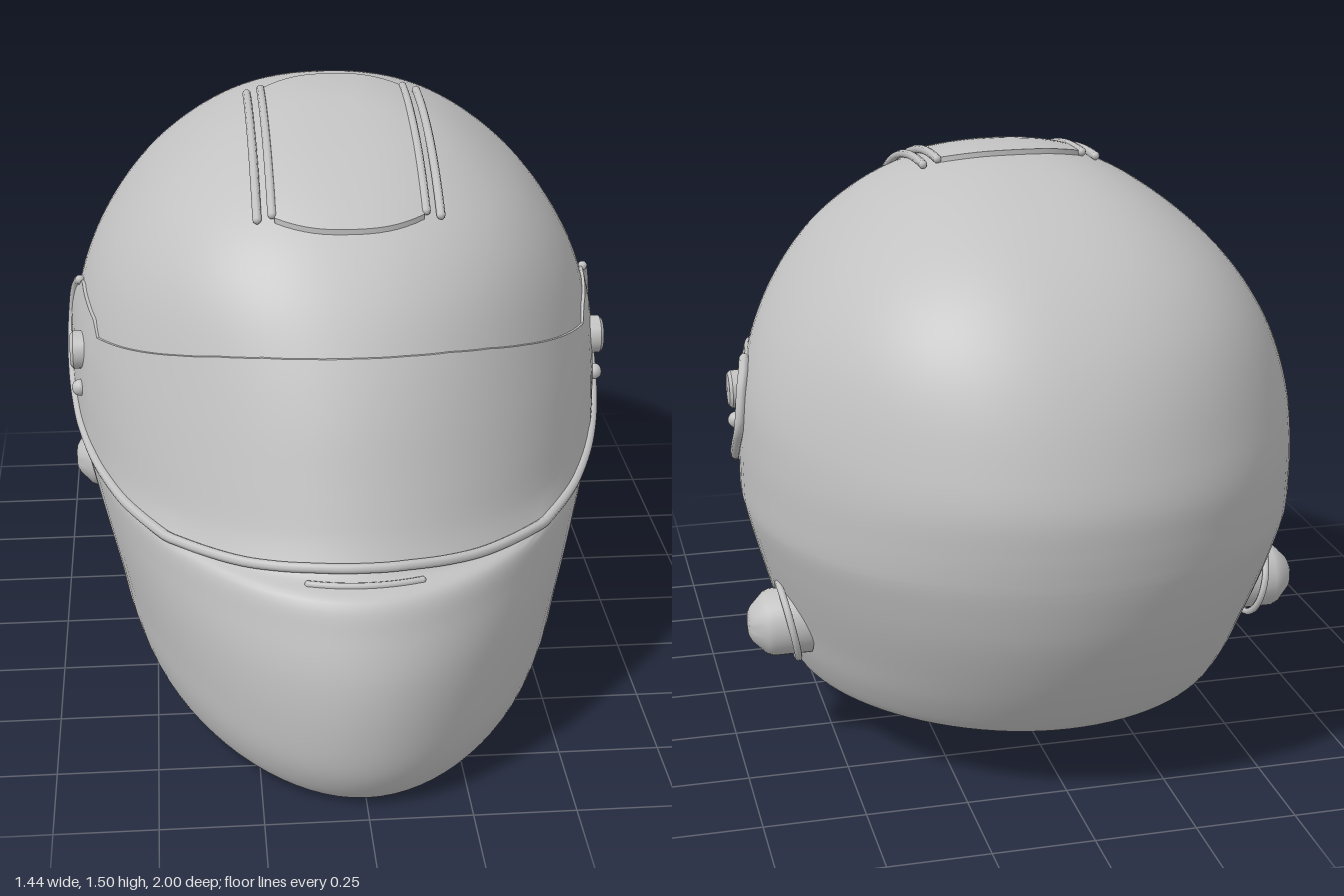
import * as THREE from 'three';
import { toCreasedNormals } from 'three/addons/utils/BufferGeometryUtils.js';

// Shell sections from base to crown: front y, front z, back y, back z, half width, z of widest point
const SECTIONS = [
  [0.0, 0.905, 0.175, -0.765, 0.535, -0.08], [0.02, 0.935, 0.185, -0.78, 0.56, -0.08],
  [0.1, 0.98, 0.26, -0.835, 0.59, -0.11], [0.22, 1.0, 0.36, -0.893, 0.615, -0.14],
  [0.36, 0.995, 0.47, -0.943, 0.648, -0.17], [0.47, 0.965, 0.56, -0.971, 0.675, -0.19],
  [0.55, 0.93, 0.62, -0.985, 0.692, -0.2], [0.575, 0.865, 0.66, -0.991, 0.697, -0.2],
  [0.62, 0.83, 0.72, -0.997, 0.698, -0.2], [0.75, 0.775, 0.81, -0.998, 0.697, -0.2],
  [0.9, 0.715, 0.92, -0.971, 0.684, -0.2], [1.04, 0.645, 1.04, -0.925, 0.643, -0.19],
  [1.15, 0.575, 1.15, -0.862, 0.582, -0.18], [1.25, 0.487, 1.25, -0.778, 0.503, -0.17],
  [1.33, 0.385, 1.33, -0.68, 0.417, -0.16], [1.4, 0.25, 1.4, -0.55, 0.317, -0.15],
  [1.45, 0.085, 1.45, -0.4, 0.208, -0.15], [1.475, -0.04, 1.475, -0.275, 0.105, -0.15],
  [1.482, -0.145, 1.482, -0.155, 0.005, -0.15],
];
const frontCurve = new THREE.CatmullRomCurve3(SECTIONS.map(s => new THREE.Vector3(s[0], s[1], s[4])));
const backCurve = new THREE.CatmullRomCurve3(SECTIONS.map(s => new THREE.Vector3(s[2], s[3], s[5])));
const BASE_BOW = 0.02;

// Sections grow squarer towards the crown
const squareness = t => THREE.MathUtils.smoothstep(t, 0.54, 0.74);
const power = t => 2 + 0.35 * squareness(t);
const signedPow = (v, e) => Math.sign(v) * Math.abs(v) ** e;

// Point on the shell at height parameter t and angle a (0 = left side, PI/2 = front)
function shellPoint(t, a) {
  const f = frontCurve.getPoint(t), b = backCurve.getPoint(t);
  const e = 2 / power(t), zc = b.z;
  const c = signedPow(Math.cos(a), e), s = signedPow(Math.sin(a), e);
  const z = zc + s * (s > 0 ? f.y - zc : zc - b.y);
  const taper = s > 0 ? 1 - 0.08 * (1 - squareness(t)) * s ** 4 : 1;
  const mid = (z - b.y) / (f.y - b.y);
  const bow = BASE_BOW * 4 * mid * (1 - mid) * (1 - THREE.MathUtils.smoothstep(t, 0, 0.25));
  return new THREE.Vector3(f.z * c * taper, THREE.MathUtils.lerp(b.x, f.x, mid) + bow, z);
}

function bisect(lo, hi, isBelow) {
  for (let i = 0; i < 24; i++) {
    const mid = (lo + hi) / 2;
    if (isBelow(mid)) lo = mid; else hi = mid;
  }
  return (lo + hi) / 2;
}

// Shell point at a given angle and height, pushed outward
function onSide(a, y, offset = 0) {
  const p = shellPoint(bisect(0, 1, t => shellPoint(t, a).y < y), a);
  p.x += Math.cos(a) * offset;
  p.z += Math.sin(a) * offset;
  return p;
}

// Crown point above a given x and z
function onTop(x, z, offset = 0) {
  const t = bisect(0.6, 1, k => {
    const f = frontCurve.getPoint(k), b = backCurve.getPoint(k), p = power(k);
    const r = z > b.z ? f.y - b.z : b.z - b.y;
    return Math.abs(x / f.z) ** p + Math.abs((z - b.z) / r) ** p < 1;
  });
  return new THREE.Vector3(x, frontCurve.getPoint(t).x + offset, z);
}

function grid(rows, cols, fn, crease = 0.7) {
  const pos = [], idx = [];
  for (let i = 0; i <= rows; i++) {
    for (let j = 0; j <= cols; j++) pos.push(...fn(i, j).toArray());
  }
  for (let i = 0; i < rows; i++) {
    for (let j = 0; j < cols; j++) {
      const a = i * (cols + 1) + j, b = a + cols + 1;
      idx.push(a, b, a + 1, b, b + 1, a + 1);
    }
  }
  const g = new THREE.BufferGeometry();
  g.setAttribute('position', new THREE.Float32BufferAttribute(pos, 3));
  g.setIndex(idx);
  return toCreasedNormals(g, crease);
}

function lookup(table, x) {
  let i = 0;
  while (i < table.length - 2 && x > table[i + 1][0]) i++;
  return THREE.MathUtils.mapLinear(x, table[i][0], table[i + 1][0], table[i][1], table[i + 1][1]);
}

// Visor edges: angle in degrees from the side, height
const VISOR_LOW = [[0, 0.82], [2, 0.78], [4, 0.745], [8, 0.7], [15, 0.65], [25, 0.612],
  [35, 0.59], [48, 0.578], [65, 0.585], [80, 0.598], [90, 0.6]];
const VISOR_HIGH = [[0, 0.87], [1, 0.915], [2.5, 0.95], [5, 0.972], [8, 0.98], [15, 0.968],
  [21, 0.955], [24, 0.922], [35, 0.952], [50, 0.995], [60, 1.02], [70, 1.036], [80, 1.043], [90, 1.045]];

export function createModel() {
  const model = new THREE.Group();
  const grey = new THREE.MeshStandardMaterial({ color: 0xc2c2c2 });
  grey.name = 'shellGrey';
  const add = (name, geometry, parent = model) => {
    const mesh = new THREE.Mesh(geometry, grey);
    mesh.name = name;
    parent.add(mesh);
    return mesh;
  };
  const tube = (name, points, radius) => {
    add(name, new THREE.TubeGeometry(new THREE.CatmullRomCurve3(points), points.length * 2, radius, 8));
    for (const p of [points[0], points[points.length - 1]]) {
      add(name + 'End', new THREE.SphereGeometry(radius, 8, 6)).position.copy(p);
    }
  };
  const rad = THREE.MathUtils.degToRad;

  // Shell and the closed base
  const COLS = 96, ROWS = 108;
  const ring = j => (j % COLS) / COLS * Math.PI * 2;
  add('shell', grid(ROWS, COLS, (i, j) => shellPoint(i / ROWS, ring(j)), 1));
  const baseCentre = new THREE.Vector3(0, 0.0875 + BASE_BOW, 0.07);
  add('base', grid(1, COLS, (i, j) => (i ? shellPoint(0, ring(j)) : baseCentre)));

  // Visor wrapping around the face, with edges sunk into the shell
  const VR = 12, VC = 180;
  add('visor', grid(VR + 2, VC, (i, j) => {
    const deg = j / VC * 180, half = Math.min(deg, 180 - deg);
    const v = THREE.MathUtils.clamp((i - 1) / VR, 0, 1);
    const y = THREE.MathUtils.lerp(lookup(VISOR_LOW, half), lookup(VISOR_HIGH, half), v);
    const lift = lookup([[0, 0.013], [6, 0.008], [21, 0.008], [23, 0.006], [90, 0.006]], half);
    return onSide(rad(deg), y, i === 0 || i === VR + 2 ? -0.015 : lift);
  }, 0.5));

  // Raised rim under the visor, turning up around both hinge plates
  const rim = [];
  for (const d of [5, 2.5, 1]) rim.push(onSide(rad(d), lookup(VISOR_HIGH, d), 0.01));
  for (let d = 0; d <= 180; d += 3) {
    rim.push(onSide(rad(d), lookup(VISOR_LOW, Math.min(d, 180 - d)), 0.009));
  }
  for (const d of [1, 2.5, 5]) rim.push(onSide(rad(180 - d), lookup(VISOR_HIGH, d), 0.01));
  tube('visorRim', rim, 0.013);

  // Lip at the top of the chin
  const lip = [];
  for (let d = 78; d <= 102; d += 3) lip.push(onSide(rad(d), 0.568, 0));
  tube('chinLip', lip, 0.009);

  // Hinge and chin knobs on both sides
  const knobProfile = [[0.085, -0.06], [0.085, 0.035], [0.078, 0.052], [0.045, 0.085], [0.03, 0.093], [0, 0.096]]
    .map(p => new THREE.Vector2(...p));
  const pivotProfile = [[0.05, -0.03], [0.05, 0.026], [0.042, 0.034], [0, 0.036]]
    .map(p => new THREE.Vector2(...p));
  for (const side of [1, -1]) {
    const label = side > 0 ? 'left' : 'right';
    const turn = -side * Math.PI / 2;
    const knob = add(label + 'ChinKnob', toCreasedNormals(new THREE.LatheGeometry(knobProfile, 32), 0.6));
    knob.position.set(side * 0.625, 0.345, -0.34);
    knob.rotation.z = turn;
    const collar = add(label + 'KnobCollar', new THREE.TorusGeometry(0.098, 0.009, 8, 40));
    collar.position.set(side * 0.617, 0.345, -0.34);
    collar.rotation.set(0, Math.PI / 2, -side * 0.2, 'ZYX');

    const hinge = new THREE.Group();
    hinge.name = label + 'Hinge';
    hinge.position.set(side * 0.667, 0.84, 0.05);
    model.add(hinge);
    const pivot = add('pivot', toCreasedNormals(new THREE.LatheGeometry(pivotProfile, 28), 0.6), hinge);
    pivot.rotation.z = turn;
    const stud = add('stud', new THREE.SphereGeometry(0.022, 14, 10), hinge);
    stud.position.set(side * 0.012, -0.095, 0.03);
    const stop = add('stopArc', new THREE.TorusGeometry(0.115, 0.01, 8, 14, 0.85), hinge);
    stop.position.x = side * 0.02;
    stop.rotation.set(0, Math.PI / 2, -0.85, 'YXZ');
  }

  // Crown vent: curved plate between two pairs of rails
  const NZ = 28, NX = 16;
  add('ventPlate', grid(NZ + 2, NX + 2, (i, j) => {
    const u = THREE.MathUtils.clamp((j - 1) / NX, 0, 1) * 2 - 1;
    const v = THREE.MathUtils.clamp((i - 1) / NZ, 0, 1);
    const bow = 0.05 * Math.abs(u) ** 2.5;
    const edge = i === 0 || j === 0 || i === NZ + 2 || j === NX + 2;
    return onTop(u * 0.18, THREE.MathUtils.lerp(-0.22 + bow, 0.45 - bow, v), edge ? -0.015 : 0.013);
  }, 0.5));
  for (const x of [-0.222, -0.186, 0.186, 0.222]) {
    const rail = [];
    for (let k = 0; k <= 12; k++) rail.push(onTop(x, -0.17 + k * 0.0465, 0.011));
    tube('ventRail', rail, 0.011);
  }
  return model;
}
